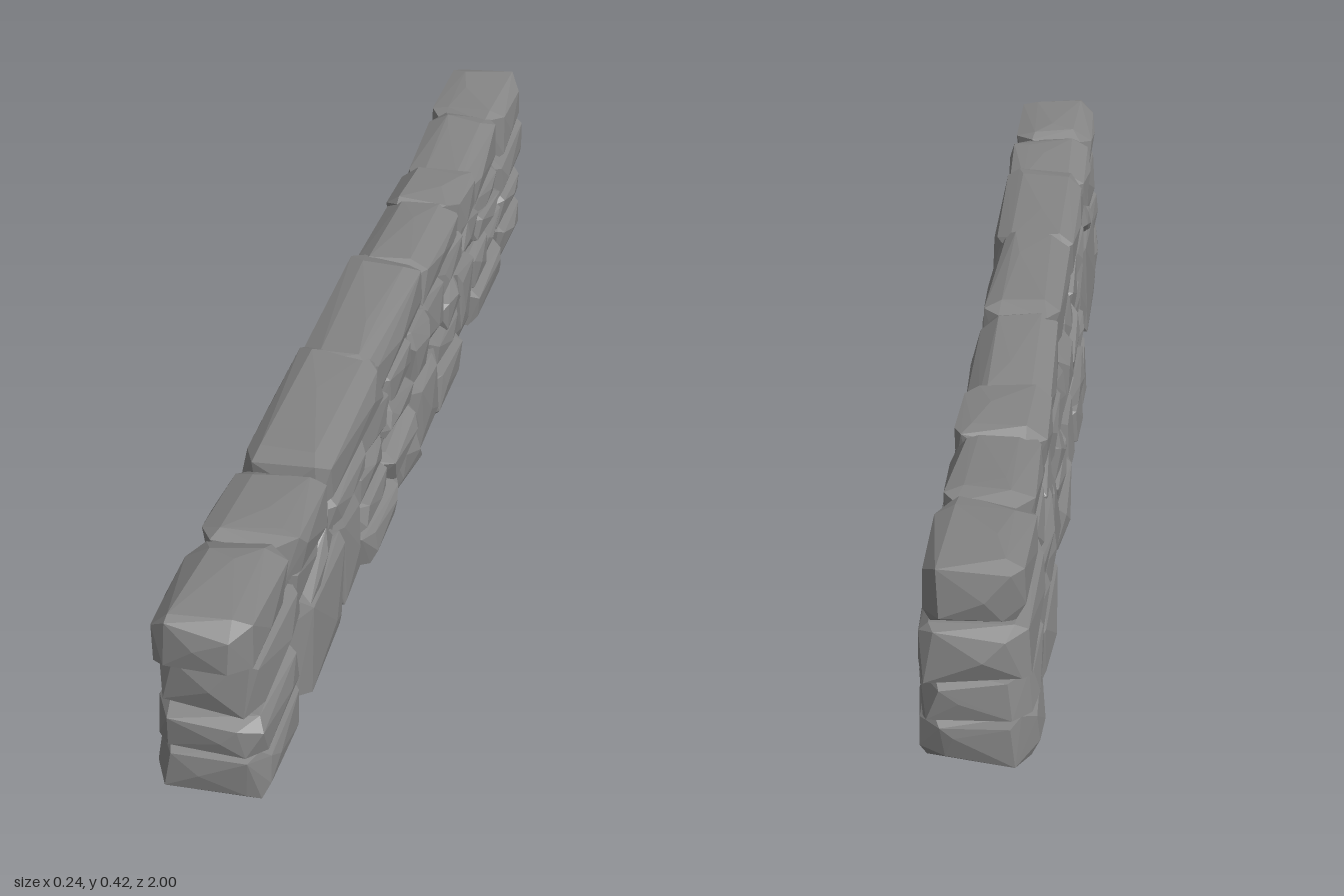
import * as THREE from 'three';
import { ConvexGeometry } from 'three/addons/geometries/ConvexGeometry.js';

// Small seeded generator, so the rough stones are always the same
let seed;
const rand = (a, b) => {
  seed = (seed * 16807) % 2147483647;
  return a + (b - a) * (seed / 2147483647);
};

const material = new THREE.MeshStandardMaterial({ color: 0x858585, flatShading: true });

// One rough stone: the hull of a box whose eight corners are each chopped off by three points.
// z0..z1 and y0..y1 are its extents, hx its half thickness, tilt a lean in the wall plane.
function stone(name, [z0, z1, y0, y1, hx, tilt = 0], topInset, bottomInset) {
  const hz = (z0 - z1) / 2, hy = (y1 - y0) / 2;
  const cut = Math.min(hz, 0.12);
  const points = [];
  const add = (x, y, z) => points.push(new THREE.Vector3(x, y, z));
  for (const sx of [-1, 1]) for (const sy of [-1, 1]) for (const sz of [-1, 1]) {
    const inset = sy > 0 ? topInset : bottomInset;
    // on the top or bottom
    add(sx * hx * (1 - inset - rand(0, 0.2)), sy * hy * rand(0.88, 1), sz * (hz - cut * rand(0.15, 0.45)));
    // on the wall face
    add(sx * hx * rand(0.9, 1), sy * hy * rand(0.35, 0.85), sz * (hz - cut * rand(0.2, 0.5)));
    // on the end
    add(sx * hx * rand(0.5, 0.85), sy * hy * rand(0.55, 0.92), sz * (hz - cut * rand(0, 0.15)));
  }
  // blunt peaks on the ends, faces, top and bottom
  for (const s of [-1, 1]) {
    add(hx * rand(-0.4, 0.4), hy * rand(-0.4, 0.5), s * hz);
    add(s * hx * 1.04, hy * rand(-0.4, 0.4), hz * rand(-0.5, 0.5));
    add(hx * rand(-0.35, 0.35), s * hy, hz * rand(-0.5, 0.5));
  }
  const mesh = new THREE.Mesh(new ConvexGeometry(points), material);
  mesh.name = name;
  mesh.position.set(0, (y0 + y1) / 2, (z0 + z1) / 2);
  mesh.rotation.x = tilt;
  return mesh;
}

// Courses of stones, listed from the front end to the back end,
// with the share of the half thickness cut off along their top and bottom edges
const courses = {
  baseStone: { top: 0.12, bottom: 0.04, list: [
    [0.99, 0.74, 0.003, 0.115, 0.105],
    [0.75, 0.50, 0.005, 0.245, 0.108],
    [0.51, 0.37, 0.025, 0.24, 0.1],
    [0.38, 0.14, 0.005, 0.115, 0.112],
    [0.15, -0.01, 0.015, 0.115, 0.112],
    [0.01, -0.17, 0.01, 0.19, 0.106],
    [-0.12, -0.36, 0.0, 0.11, 0.11],
    [-0.35, -0.49, 0.025, 0.24, 0.098],
    [-0.46, -0.76, 0.01, 0.115, 0.108],
    [-0.75, -0.97, 0.005, 0.115, 0.105],
  ] },
  lowerStone: { top: 0.12, bottom: 0.1, list: [
    [0.99, 0.74, 0.1, 0.2, 0.1],
    [0.39, 0.2, 0.1, 0.17, 0.1],
    [0.23, 0.0, 0.1, 0.175, 0.113, 0.12],
    [-0.14, -0.38, 0.1, 0.19, 0.1, -0.1],
    [-0.46, -0.64, 0.11, 0.21, 0.1],
    [-0.59, -0.77, 0.11, 0.2, 0.096],
    [-0.75, -0.98, 0.11, 0.2, 0.1],
  ] },
  middleStone: { top: 0.14, bottom: 0.1, list: [
    [0.98, 0.70, 0.195, 0.315, 0.094],
    [0.73, 0.53, 0.205, 0.285, 0.098, 0.65],
    [0.76, 0.5, 0.21, 0.33, 0.084],
    [0.55, 0.32, 0.235, 0.31, 0.092],
    [0.39, 0.18, 0.155, 0.245, 0.09],
    [0.34, 0.15, 0.23, 0.33, 0.088, -0.25],
    [0.22, 0.0, 0.185, 0.265, 0.1, -0.25],
    [0.2, -0.02, 0.235, 0.33, 0.088],
    [0.01, -0.12, 0.17, 0.325, 0.098],
    [-0.1, -0.25, 0.18, 0.325, 0.092],
    [-0.22, -0.38, 0.17, 0.25, 0.1, 0.2],
    [-0.21, -0.43, 0.24, 0.33, 0.088],
    [-0.4, -0.57, 0.22, 0.32, 0.09, -0.3],
    [-0.5, -0.74, 0.2, 0.27, 0.1, -0.15],
    [-0.53, -0.74, 0.25, 0.325, 0.088],
    [-0.70, -1.0, 0.2, 0.315, 0.098],
  ] },
  capStone: { top: 0.36, bottom: 0.08, list: [
    [1.0, 0.75, 0.305, 0.412, 0.09],
    [0.77, 0.53, 0.3, 0.4, 0.092, -0.08],
    [0.57, 0.18, 0.31, 0.417, 0.088],
    [0.24, -0.14, 0.31, 0.424, 0.08, 0.03],
    [-0.09, -0.42, 0.3, 0.408, 0.08, -0.04],
    [-0.36, -0.55, 0.29, 0.405, 0.084],
    [-0.49, -0.78, 0.3, 0.405, 0.08, 0.1],
    [-0.74, -0.985, 0.303, 0.42, 0.088, 0.06],
  ] },
};

export function createModel() {
  seed = 7;
  const wall = new THREE.Group();
  wall.name = 'stoneWall';
  for (const [name, { top, bottom, list }] of Object.entries(courses)) {
    list.forEach((s, i) => wall.add(stone(name + (i + 1), s, top, bottom)));
  }
  // Rubble core closing the joints between the stones
  const core = new THREE.Mesh(new THREE.BoxGeometry(0.14, 0.3, 1.8), material);
  core.name = 'rubbleCore';
  core.position.y = 0.185;
  wall.add(core);
  return wall;
}
